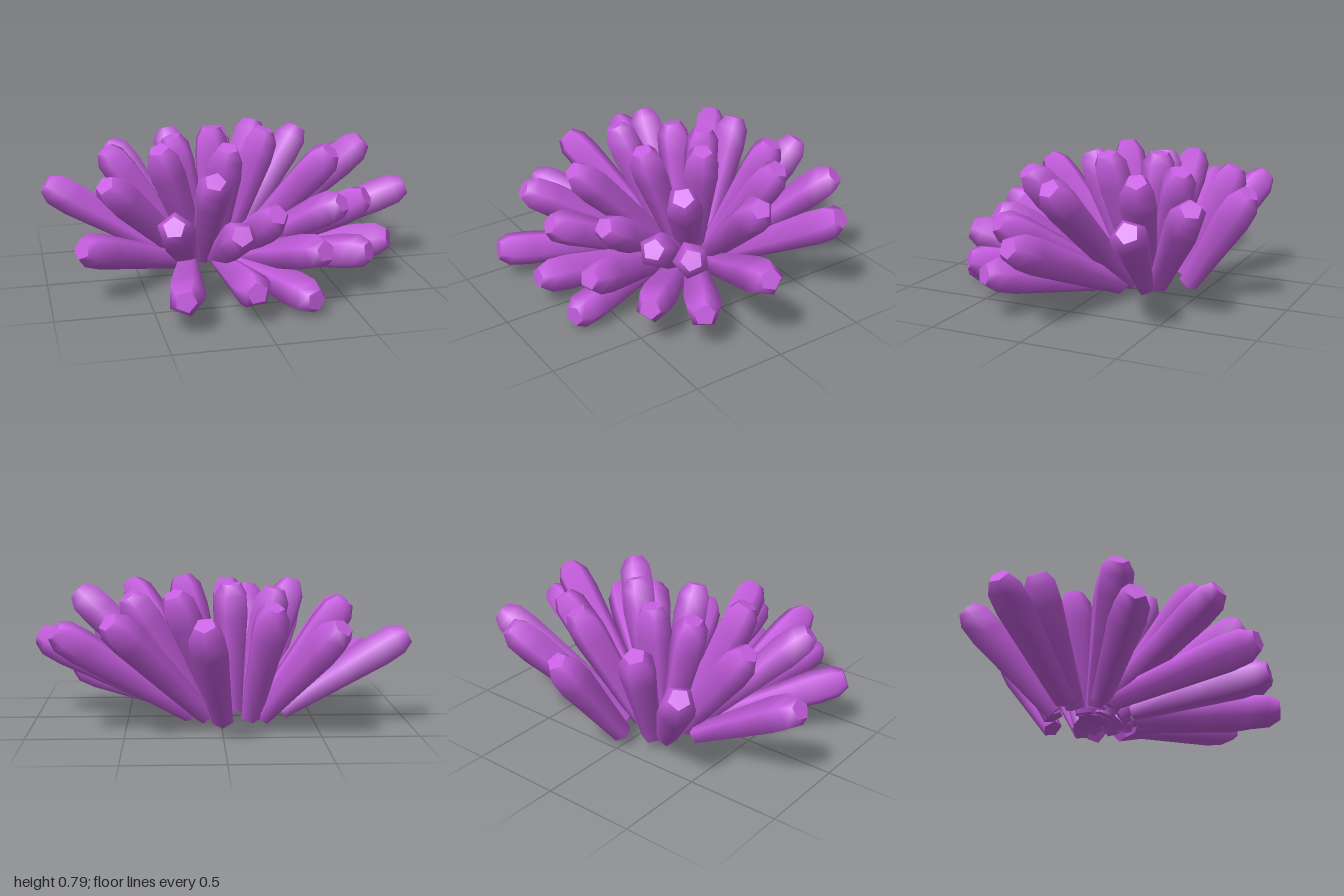
import * as THREE from 'three';

// Tip of each tentacle (x, y, z), how far along the way from the hub it starts,
// and for a few a sideways shift of the root
const TIPS = [
  // back
  [-0.57, 0.60, -0.69, 0.28], [-0.24, 0.69, -0.62, 0.42], [0.10, 0.63, -0.81, 0.42],
  [0.56, 0.63, -0.68, 0.25], [0.25, 0.74, -0.50, 0.25], [0.48, 0.72, -0.36, 0.25],
  [0.84, 0.56, -0.48, 0.25],
  // middle
  [-0.97, 0.50, -0.27, 0.28], [-0.64, 0.68, -0.24, 0.25], [-0.28, 0.74, -0.21, 0.25],
  [-0.05, 0.77, -0.26, 0.2], [0.21, 0.79, -0.07, 0.25], [0.76, 0.71, -0.03, 0.22],
  [0.98, 0.46, 0.07, 0.24], [-0.40, 0.75, 0.09, 0.28], [-0.04, 0.75, 0.14, 0.25],
  [-0.70, 0.62, 0.24, 0.25], [-0.84, 0.34, 0.39, 0.28],
  // front
  [0.49, 0.73, 0.24, 0.22], [0.67, 0.49, 0.31, 0.22], [0.80, 0.25, 0.32, 0.25],
  [0.50, 0.50, 0.42, 0.22], [0.62, 0.26, 0.52, 0.25], [0.14, 0.48, 0.49, 0.22],
  [-0.18, 0.67, 0.48, 0.2, -0.05], [-0.09, 0.45, 0.68, 0.2], [-0.04, 0.19, 0.79, 0.25],
  [-0.42, 0.51, 0.66, 0.2, -0.09], [-0.40, 0.20, 0.84, 0.2, -0.1], [0.33, 0.34, 0.69, 0.22],
  [0.27, 0.11, 0.75, 0.25],
];

export function createModel() {
  const group = new THREE.Group();
  group.name = 'anemone';
  const purple = new THREE.MeshStandardMaterial({ color: 0xc65ee0 });
  purple.name = 'purple';

  const hub = new THREE.Vector3(-0.07, 0.09, -0.2);
  const up = new THREE.Vector3(0, 1, 0);

  // Five-sided club: narrow root, swelling body, bevelled shoulder, flat cap
  const makeTentacle = (length) => new THREE.LatheGeometry([
    [0, 0], [0.055, 0], [0.055, 0.001],
    [0.082, length * 0.5],
    [0.097, length - 0.17],
    [0.091, length - 0.06],
    [0.055, length - 0.001], [0.055, length], [0, length],
  ].map(([r, y]) => new THREE.Vector2(r, y)), 5);

  TIPS.forEach(([x, y, z, start, shift = 0], i) => {
    const tip = new THREE.Vector3(x, y, z);
    const root = new THREE.Vector3(
      hub.x + (x - hub.x) * start + shift, hub.y, hub.z + (z - hub.z) * start);
    const axis = tip.clone().sub(root);
    const tentacle = new THREE.Mesh(makeTentacle(axis.length()), purple);
    tentacle.name = 'tentacle' + (i + 1);
    tentacle.position.copy(root);
    tentacle.quaternion.setFromUnitVectors(up, axis.normalize());
    tentacle.rotateY(i * 0.9);
    group.add(tentacle);
  });
  return group;
}
